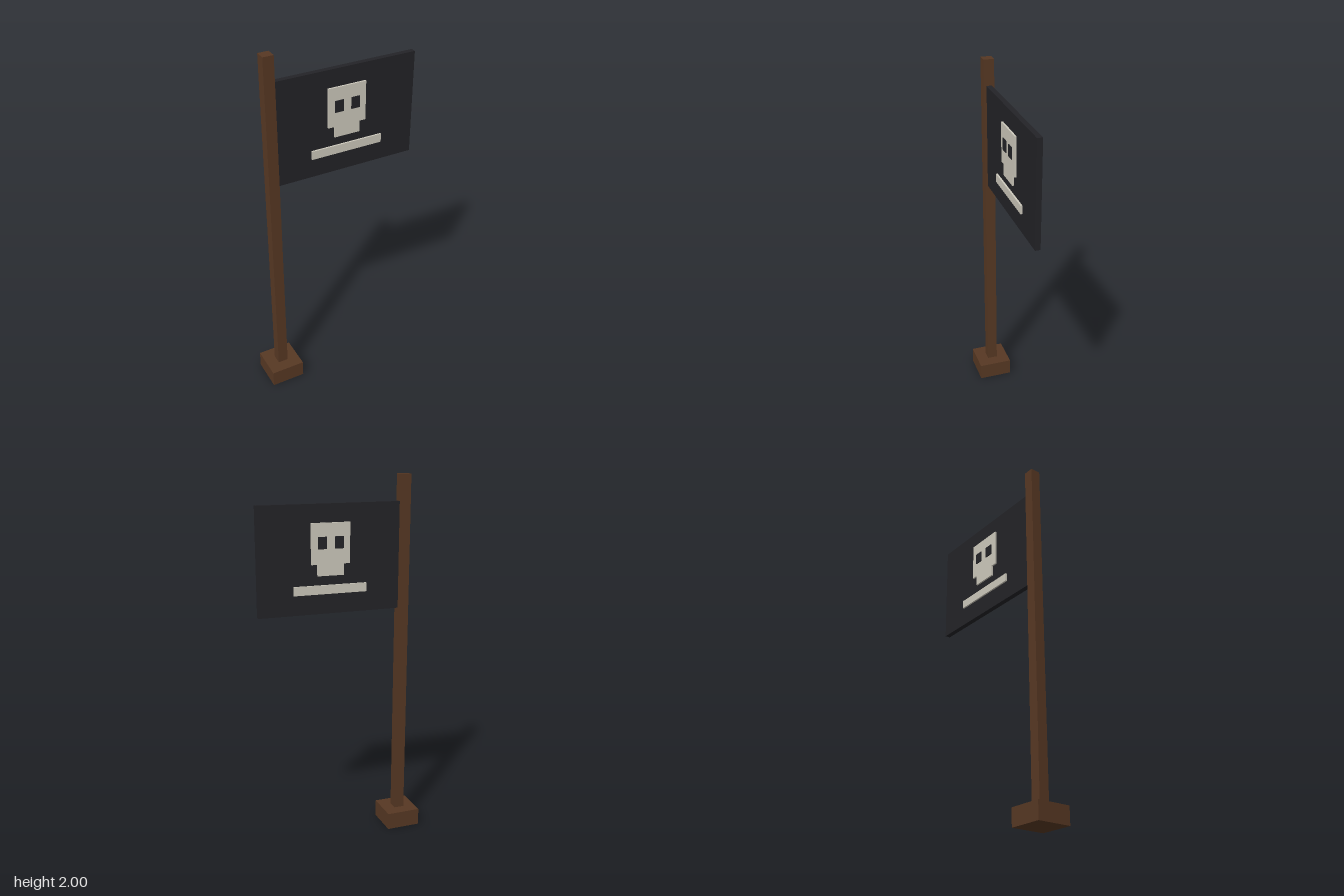
import * as THREE from 'three';

export function createModel() {
  const group = new THREE.Group();
  const wood = new THREE.MeshStandardMaterial({ color: 0x573823 });
  const cloth = new THREE.MeshStandardMaterial({ color: 0x232327 });
  const bone = new THREE.MeshStandardMaterial({ color: 0xcdc9bc });

  // Box given by its limits on each axis
  function box(name, material, [x0, x1], [y0, y1], [z0, z1], parent = group) {
    const mesh = new THREE.Mesh(new THREE.BoxGeometry(x1 - x0, y1 - y0, z1 - z0), material);
    mesh.position.set((x0 + x1) / 2, (y0 + y1) / 2, (z0 + z1) / 2);
    mesh.name = name;
    parent.add(mesh);
  }

  // Stand, pole and flag
  box('base', wood, [-0.454, -0.264], [0, 0.095], [-0.095, 0.095]);
  box('pole', wood, [-0.388, -0.331], [0.095, 2], [-0.0285, 0.0285]);
  box('flag', cloth, [-0.331, 0.45], [1.288, 1.86], [-0.0143, 0.0143]);

  // Raised skull and crossbar on both faces of the flag
  for (const side of [1, -1]) {
    const emblem = new THREE.Group();
    emblem.name = side > 0 ? 'frontEmblem' : 'backEmblem';
    const layer = (a, b) => (side > 0 ? [a, b] : [-b, -a]);
    const raised = layer(0.012, 0.0238);
    box('skull', bone, [-0.049, 0.164], [1.55, 1.764], raised, emblem);
    box('jaw', bone, [-0.014, 0.13], [1.49, 1.55], raised, emblem);
    box('crossbar', bone, [-0.143, 0.261], [1.394, 1.441], raised, emblem);
    for (const x of [0.012, 0.104]) {
      box('eye', cloth, [x - 0.024, x + 0.024], [1.63, 1.693], layer(0.019, 0.0286), emblem);
    }
    group.add(emblem);
  }
  return group;
}
